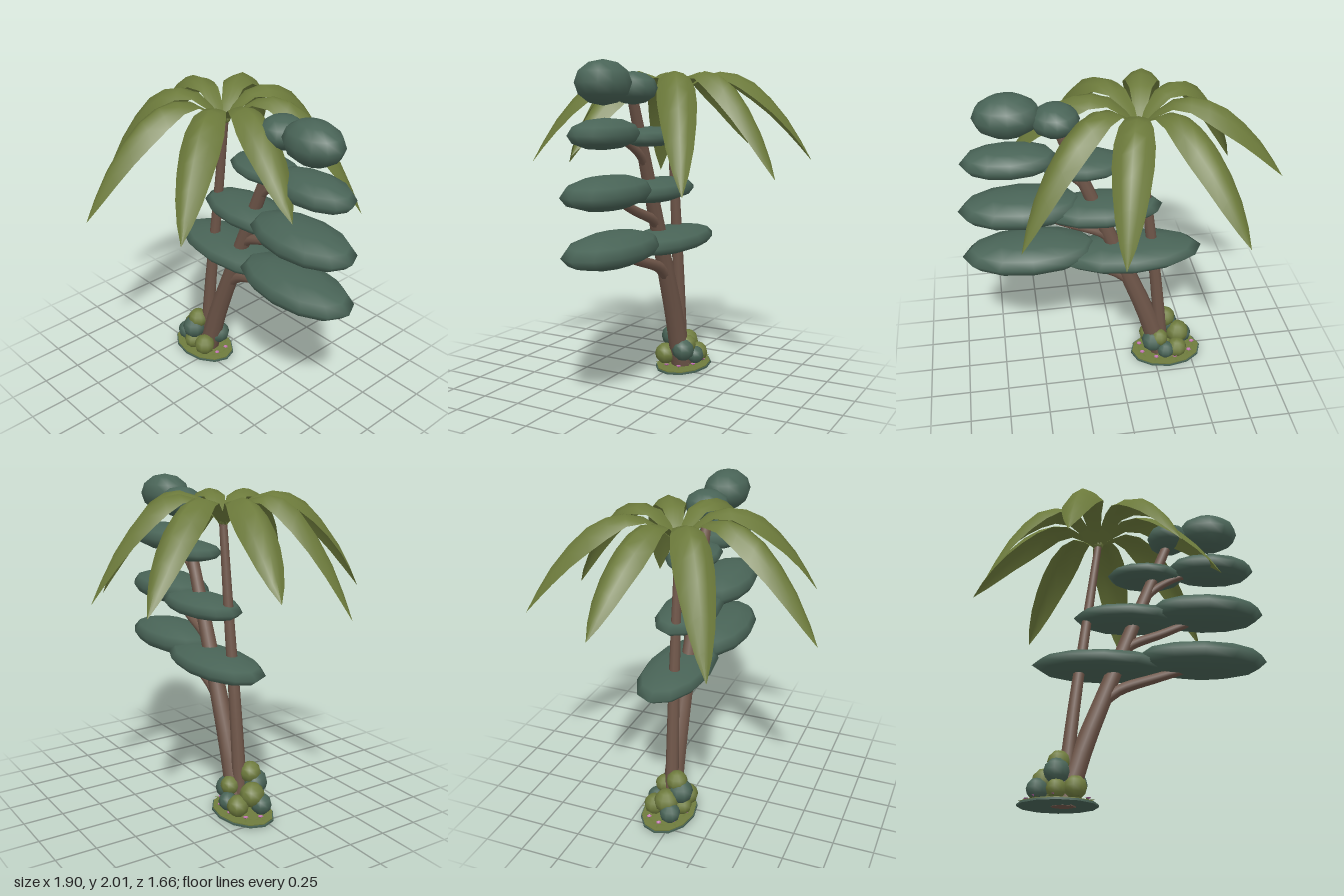
import * as THREE from 'three';

const mat = (name, color, side = THREE.FrontSide) => {
  const m = new THREE.MeshStandardMaterial({ color, side });
  m.name = name;
  return m;
};

export function createModel() {
  const model = new THREE.Group();
  const teal = mat('dark teal foliage', 0x496457);
  const olive = mat('olive green', 0x6f7c3e);
  const frondGreen = mat('frond green', 0x6c7a3b, THREE.DoubleSide);
  const bark = mat('brown bark', 0x70574a);
  const pink = mat('pink petals', 0xb86aa8, THREE.DoubleSide);

  const add = (name, geometry, material, parent = model) => {
    const mesh = new THREE.Mesh(geometry, material);
    mesh.name = name;
    parent.add(mesh);
    return mesh;
  };
  const group = (name) => {
    const g = new THREE.Group();
    g.name = name;
    model.add(g);
    return g;
  };

  // Tapered limb swept along a smooth path
  const limb = (name, pts, r0, r1) => {
    const curve = new THREE.CatmullRomCurve3(pts.map((p) => new THREE.Vector3(...p)));
    const n = 12, sides = 9;
    const geo = new THREE.TubeGeometry(curve, n, 1, sides);
    const pos = geo.attributes.position;
    const v = new THREE.Vector3();
    for (let i = 0; i <= n; i++) {
      const c = curve.getPointAt(i / n);
      const r = THREE.MathUtils.lerp(r0, r1, i / n);
      for (let j = 0; j <= sides; j++) {
        const k = i * (sides + 1) + j;
        v.fromBufferAttribute(pos, k).sub(c).multiplyScalar(r).add(c);
        pos.setXYZ(k, v.x, v.y, v.z);
      }
    }
    add(name, geo, bark);
  };

  limb('palmTrunk', [[-0.315, 0.01, -0.05], [-0.26, 0.6, -0.055], [-0.19, 1.2, -0.06], [-0.12, 1.79, -0.06]], 0.046, 0.024);
  limb('mainTrunk', [[-0.3, 0.01, -0.06], [-0.2, 0.35, -0.06], [-0.06, 0.73, -0.06], [0.07, 1.08, -0.06],
    [0.21, 1.45, -0.06], [0.36, 1.84, -0.06]], 0.068, 0.03);
  limb('lowerBranch', [[-0.07, 0.67, -0.06], [0.02, 0.74, -0.06], [0.25, 0.82, -0.05], [0.5, 0.9, -0.04]], 0.038, 0.026);
  limb('middleBranch', [[0.03, 0.99, -0.06], [0.1, 1.05, -0.06], [0.3, 1.13, -0.05], [0.52, 1.23, -0.04]], 0.034, 0.024);
  limb('upperBranch', [[0.18, 1.38, -0.06], [0.26, 1.46, -0.06], [0.38, 1.53, -0.05], [0.52, 1.58, -0.05]], 0.028, 0.02);

  // Flattened foliage pads: centre, then half sizes
  const pads = group('foliagePads');
  [
    [0.53, 0.938, -0.035, 0.42, 0.1, 0.215],
    [-0.08, 0.908, -0.09, 0.45, 0.078, 0.21],
    [0.57, 1.267, -0.03, 0.375, 0.098, 0.205],
    [0.09, 1.238, -0.08, 0.365, 0.073, 0.185],
    [0.62, 1.597, -0.045, 0.285, 0.088, 0.165],
    [0.2, 1.563, -0.095, 0.255, 0.06, 0.165],
    [0.615, 1.875, -0.035, 0.195, 0.125, 0.145],
    [0.35, 1.845, -0.07, 0.14, 0.095, 0.14],
  ].forEach(([x, y, z, a, b, c]) => {
    const pad = add('foliagePad', new THREE.SphereGeometry(1, 12, 6), teal, pads);
    pad.position.set(x, y, z);
    pad.scale.set(a, b, c);
  });

  // Palm fronds: rows of fraction of reach, height, half width and edge droop
  const crown = new THREE.Vector3(-0.13, 1.76, -0.06);
  const rows = [
    [0, 1.75, 0.018, 0], [0.1, 1.84, 0.04, 0.1], [0.22, 1.915, 0.065, 0.2], [0.34, 1.943, 0.093, 0.5],
    [0.46, 1.93, 0.112, 0.8], [0.58, 1.885, 0.113, 1], [0.7, 1.8, 0.1, 1], [0.82, 1.69, 0.077, 1],
    [0.92, 1.57, 0.043, 0.9], [1, 1.46, 0.001, 0],
  ];
  const across = [[-1, 0.95], [-0.55, 0.3], [0, 0], [0.55, 0.3], [1, 0.95]];
  const frond = (tx, ty, tz) => {
    const dx = tx - crown.x, dz = tz - crown.z;
    const len = Math.hypot(dx, dz);
    const fall = (1.943 - ty) / (1.943 - 1.46);
    const verts = [], index = [];
    rows.forEach(([f, h, w, droop], i) => {
      const y = f > 0.34 ? 1.943 - (1.943 - h) * fall : h;
      across.forEach(([s, d], j) => {
        verts.push(crown.x + dx * f - (dz / len) * s * w, y - d * droop * w, crown.z + dz * f + (dx / len) * s * w);
        if (i && j) {
          const q = i * 5 + j;
          index.push(q - 6, q - 5, q, q - 6, q, q - 1);
        }
      });
    });
    const geo = new THREE.BufferGeometry();
    geo.setAttribute('position', new THREE.Float32BufferAttribute(verts, 3));
    geo.setIndex(index);
    geo.computeVertexNormals();
    return geo;
  };
  const fronds = group('palmFronds');
  [
    [-0.6, 1.39, -0.82], [0.07, 1.33, -0.83], [0.6, 1.27, -0.51], [0.66, 1.47, 0.15],
    [0.34, 1.39, 0.66], [-0.31, 1.33, 0.83], [-0.8, 1.26, 0.37], [-0.95, 1.46, -0.24],
  ].forEach((tip) => add('palmFrond', frond(...tip), frondGreen, fronds).geometry.scale(1, 1, 1));
  const heart = add('palmHeart', new THREE.SphereGeometry(0.036, 8, 6), olive);
  heart.position.set(-0.123, 1.785, -0.06);

  // Ground patch: dark underside, green top and trunk root plate
  const ground = group('groundPatch');
  const disc = (name, y, h, sx, sz, m) => {
    const d = add(name, new THREE.CylinderGeometry(1, 1, h, 12), m, ground);
    d.position.set(-0.34, y, -0.055);
    d.scale.set(sx, 1, sz);
    return d;
  };
  disc('groundUnderside', 0.008, 0.012, 0.24, 0.17, teal);
  disc('groundTop', 0.017, 0.006, 0.232, 0.164, olive);
  disc('rootPlate', 0.003, 0.006, 0.07, 0.045, bark).position.x = -0.31;

  // Round shrubs around the trunk feet
  const shrubs = group('shrubs');
  [
    [-0.34, 0.255, 0.0, 0.068, olive], [-0.35, 0.19, 0.03, 0.078, teal],
    [-0.46, 0.09, 0.0, 0.066, teal], [-0.42, 0.145, -0.04, 0.078, olive],
    [-0.24, 0.095, 0.03, 0.07, olive], [-0.35, 0.085, 0.04, 0.06, olive],
    [-0.24, 0.14, -0.1, 0.075, teal], [-0.28, 0.17, -0.11, 0.06, olive],
    [-0.32, 0.09, -0.15, 0.058, teal], [-0.4, 0.085, -0.13, 0.068, olive],
  ].forEach(([x, y, z, r, m]) => {
    const shrub = add('shrub', new THREE.SphereGeometry(r, 9, 6), m, shrubs);
    shrub.position.set(x, y, z);
  });

  // Leaf rosettes and pink flowers around the edge
  const plants = group('groundPlants');
  for (let i = 0; i < 9; i++) {
    const a = (i / 9) * Math.PI * 2 + 0.3;
    const x = -0.34 + Math.cos(a) * 0.185, z = -0.055 + Math.sin(a) * 0.125;
    const flower = add('flower', new THREE.ConeGeometry(0.017, 0.012, 5, 1, true), pink, plants);
    flower.position.set(x, 0.042, z);
    flower.rotation.x = Math.PI;
    for (let j = 0; j < 4; j++) {
      const leaf = add('leaf', new THREE.CircleGeometry(0.02, 4), frondGreen, plants);
      const b = a + (j * Math.PI) / 2;
      leaf.scale.set(1.2, 0.4, 1);
      leaf.rotation.set(-Math.PI / 2, 0, -b);
      leaf.position.set(x + Math.cos(b) * 0.024, 0.034, z + Math.sin(b) * 0.024);
    }
  }
  return model;
}
